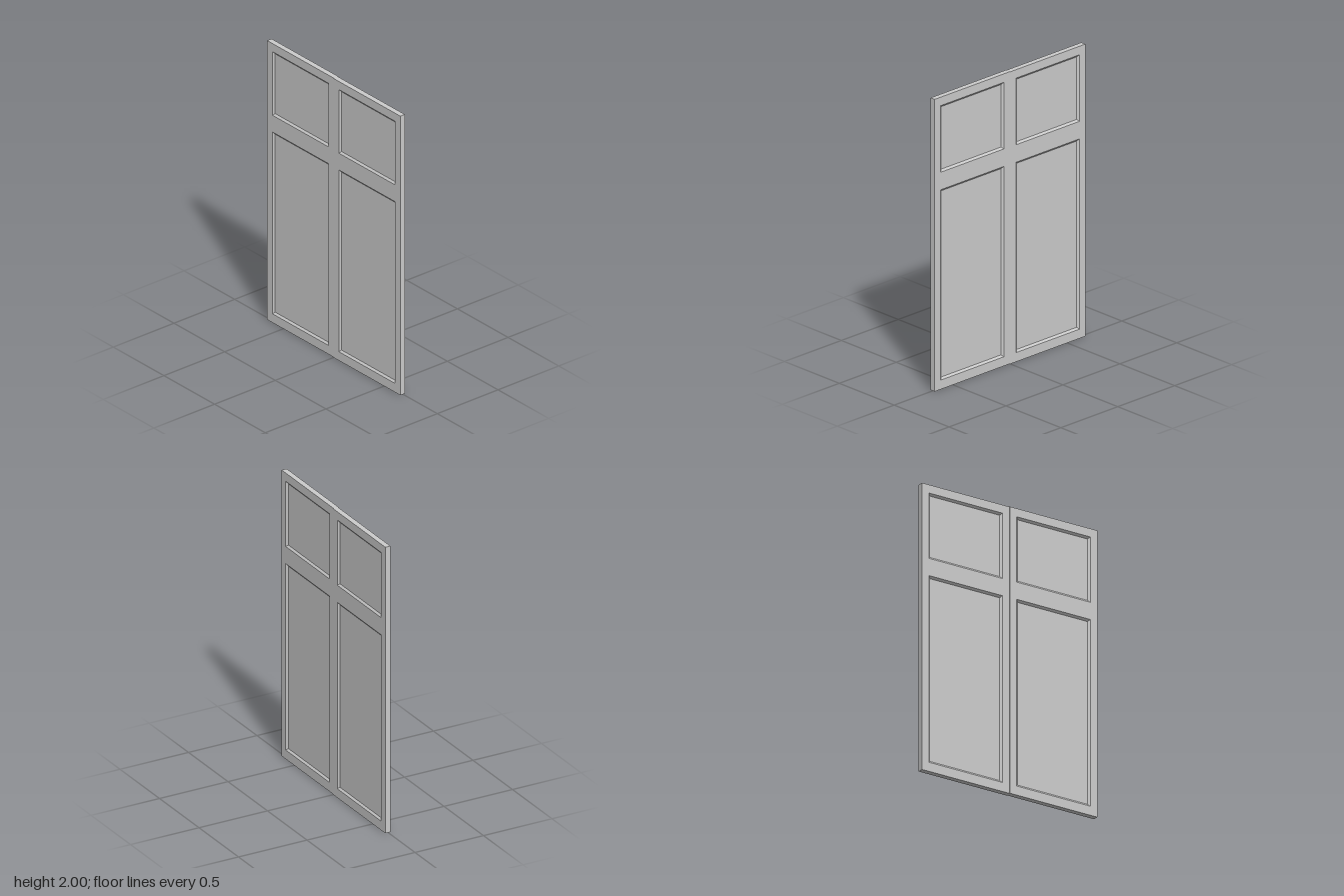
import * as THREE from 'three';

const LEAF_W = 0.66, LEAF_H = 2, HALF_T = 0.0185; // one door leaf
const STAGGER = 0.002;                            // the leaves sit slightly out of line
const OPEN_W = 0.555, BEVEL = 0.014, DEPTH = 0.011;
const PANELS = [
  { name: 'lowerPanel', y0: 0.063, y1: 1.366 },
  { name: 'upperPanel', y0: 1.486, y1: 1.942 },
];

const material = new THREE.MeshStandardMaterial({ color: 0xcccccc });

function addMesh(parent, name, geometry) {
  const mesh = new THREE.Mesh(geometry, material);
  mesh.name = name;
  parent.add(mesh);
  return mesh;
}

// Counter-clockwise corners of a rectangle centred on x = 0
function corners(width, y0, y1) {
  const h = width / 2;
  return [[-h, y0], [h, y0], [h, y1], [-h, y1]];
}

// Four flat quads joining rectangle a at depth za to rectangle b at depth zb
function ring(a, za, b, zb) {
  const points = [];
  for (let i = 0; i < 4; i++) {
    const j = (i + 1) % 4;
    points.push(...a[i], za, ...a[j], za, ...b[j], zb);
    points.push(...a[i], za, ...b[j], zb, ...b[i], zb);
  }
  const geometry = new THREE.BufferGeometry();
  geometry.setAttribute('position', new THREE.Float32BufferAttribute(points, 3));
  geometry.computeVertexNormals();
  return geometry;
}

function toPath(points, PathType) {
  return new PathType(points.map(([x, y]) => new THREE.Vector2(x, y)));
}

// One side of a leaf: stiles and rails, bevelled mouldings and sunken panels
function createFace(name) {
  const face = new THREE.Group();
  face.name = name;
  const frame = toPath(corners(LEAF_W, 0, LEAF_H), THREE.Shape);
  for (const { name: panel, y0, y1 } of PANELS) {
    const opening = corners(OPEN_W, y0, y1);
    const width = OPEN_W - 2 * BEVEL;
    const inner = corners(width, y0 + BEVEL, y1 - BEVEL);
    frame.holes.push(toPath(opening, THREE.Path));
    addMesh(face, panel + 'Moulding', ring(opening, HALF_T, inner, HALF_T - DEPTH));
    const field = addMesh(face, panel, new THREE.PlaneGeometry(width, y1 - y0 - 2 * BEVEL));
    field.position.set(0, (y0 + y1) / 2, HALF_T - DEPTH);
  }
  const frameMesh = addMesh(face, 'stilesAndRails', new THREE.ShapeGeometry(frame));
  frameMesh.position.z = HALF_T;
  return face;
}

// A leaf: two opposite faces joined by the outer edges
function createLeaf(name) {
  const leaf = new THREE.Group();
  leaf.name = name;
  const back = createFace('backFace');
  back.rotation.y = Math.PI;
  leaf.add(createFace('frontFace'), back);
  const outline = corners(LEAF_W, 0, LEAF_H);
  addMesh(leaf, 'outerEdges', ring(outline, -HALF_T, outline, HALF_T));
  return leaf;
}

export function createModel() {
  const model = new THREE.Group();
  model.name = 'doubleDoor';
  for (const side of [1, -1]) {
    const leaf = createLeaf(side > 0 ? 'leftLeaf' : 'rightLeaf');
    leaf.position.set(side * LEAF_W / 2, 0, side * STAGGER);
    model.add(leaf);
  }
  return model;
}
